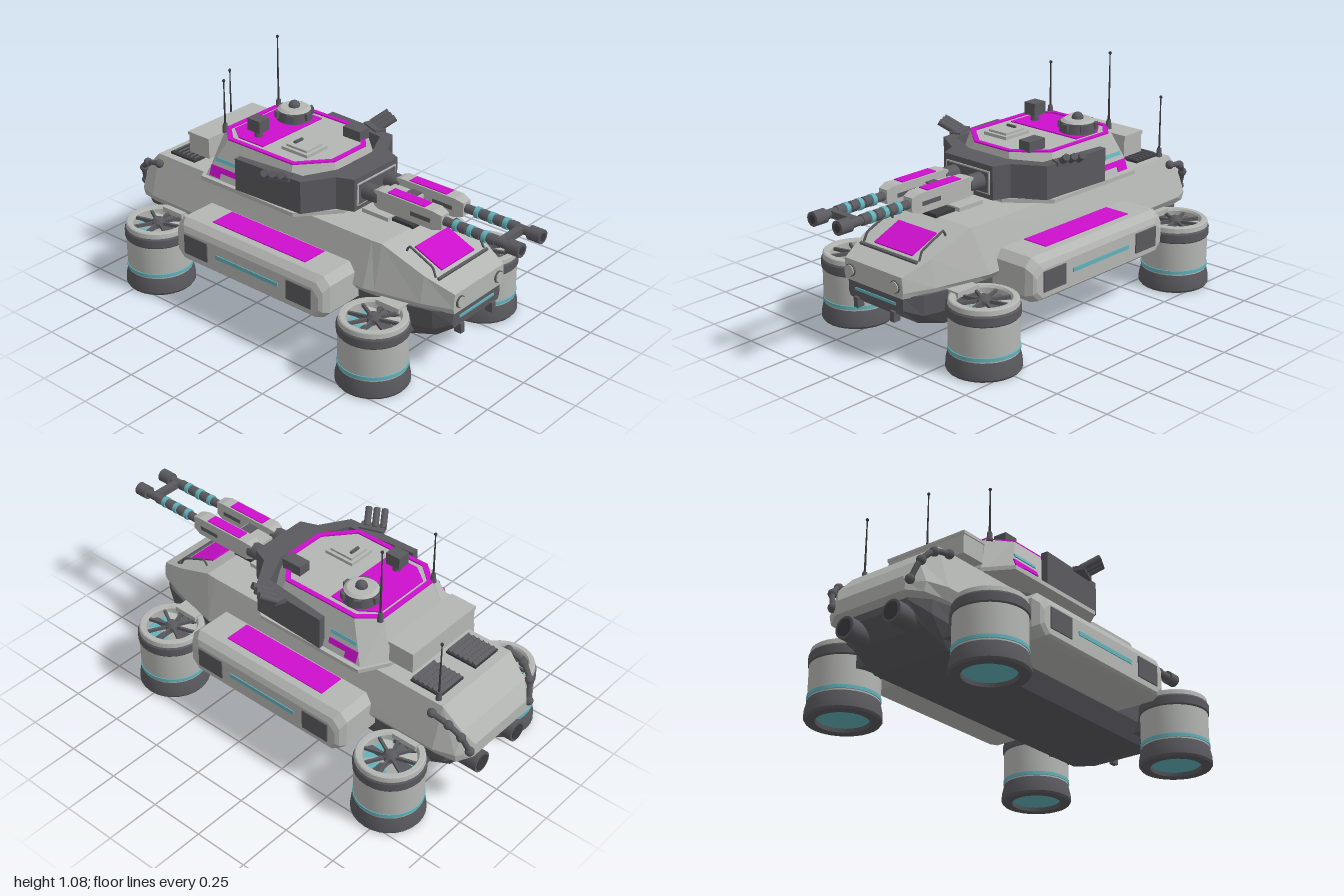
import * as THREE from 'three';
import { toCreasedNormals } from 'three/addons/utils/BufferGeometryUtils.js';

const paint = (name, color, side = THREE.FrontSide) => new THREE.MeshStandardMaterial({ name, color, side });

// Skins a series of closed rings ([x,y,z] points, counter-clockwise seen from the last ring) and caps both ends
function loft(rings) {
  const tris = [], n = rings[0].length, last = rings[rings.length - 1];
  for (let i = 0; i < rings.length - 1; i++) for (let j = 0; j < n; j++) {
    const k = (j + 1) % n, a = rings[i][j], b = rings[i][k], c = rings[i + 1][k], d = rings[i + 1][j];
    tris.push(a, b, c, a, c, d);
  }
  for (let j = 1; j < n - 1; j++) {
    tris.push(last[0], last[j], last[j + 1]);
    tris.push(rings[0][0], rings[0][j + 1], rings[0][j]);
  }
  const g = new THREE.BufferGeometry();
  g.setAttribute('position', new THREE.Float32BufferAttribute(tris.flat(), 3));
  g.computeVertexNormals();
  return g;
}

// Hull section at x, mirrored in z, from [y, halfWidth] pairs listed top to bottom
const hullRing = ([x, ...v]) => {
  const half = [];
  for (let i = 0; i < v.length; i += 2) half.push([x, v[i], v[i + 1]]);
  return [...half, ...half.map(([a, b, c]) => [a, b, -c]).reverse()];
};

// Turret plan: a long octagon at height y
const plan = (x0, x1, x2, x3, zb, zm, zf) =>
  [[x1, zm], [x2, zm], [x3, zf], [x3, -zf], [x2, -zm], [x1, -zm], [x0, -zb], [x0, zb]];
const atY = (pts, y) => pts.map(([x, z]) => [x, y, z]);

// Flat plate cut from an x/z outline, rising from y = 0
function plate(pts, height, hole) {
  const v = p => p.map(([x, z]) => new THREE.Vector2(x, -z));
  const shape = new THREE.Shape(v(pts));
  if (hole) shape.holes.push(new THREE.Path(v(hole)));
  return new THREE.ExtrudeGeometry(shape, { depth: height, bevelEnabled: false }).rotateX(-Math.PI / 2);
}

const box = (w, h, d) => new THREE.BoxGeometry(w, h, d);
const cyl = (r0, r1, h, n = 20) => new THREE.CylinderGeometry(r0, r1, h, n);
const cylX = (r, l, n = 16) => cyl(r, r, l, n).rotateZ(-Math.PI / 2);
const ball = r => new THREE.SphereGeometry(r, 14, 10);
const lathe = pts => toCreasedNormals(new THREE.LatheGeometry(pts.map(p => new THREE.Vector2(...p)), 28), 0.5);

export function createModel() {
  const model = new THREE.Group();
  model.name = 'hoverTank';
  const light = paint('light grey armour', 0xb4b6b3), dark = paint('dark grey metal', 0x5a595e);
  const black = paint('charcoal', 0x3c3c40), pink = paint('magenta', 0xcc0fcc), teal = paint('teal', 0x62b2ba);
  const add = (name, geo, mat, pos = [0, 0, 0], rot = [0, 0, 0], parent = model) => {
    const m = new THREE.Mesh(geo, mat);
    m.name = name;
    m.position.set(...pos);
    m.rotation.set(...rot);
    parent.add(m);
    return m;
  };
  const group = (name, x = 0, y = 0, z = 0) => {
    const g = new THREE.Group();
    g.name = name;
    g.position.set(x, y, z);
    model.add(g);
    return g;
  };

  // Hull
  add('upperHull', loft([
    [-0.99, 0.37, 0.17, 0.34, 0.18, 0.31, 0.18], [-0.95, 0.44, 0.21, 0.34, 0.25, 0.3, 0.24],
    [-0.86, 0.53, 0.225, 0.34, 0.28, 0.3, 0.255], [0.38, 0.53, 0.225, 0.33, 0.28, 0.3, 0.255],
    [0.43, 0.53, 0.222, 0.33, 0.268, 0.3, 0.25], [0.63, 0.448, 0.2, 0.33, 0.222, 0.3, 0.21],
    [0.76, 0.395, 0.165, 0.33, 0.172, 0.305, 0.165]].map(hullRing)), light);
  add('lowerHull', loft([
    [-0.95, 0.31, 0.16, 0.29, 0.16, 0.27, 0.15], [-0.88, 0.31, 0.22, 0.24, 0.22, 0.2, 0.18],
    [-0.75, 0.31, 0.245, 0.22, 0.235, 0.145, 0.19], [0.55, 0.31, 0.245, 0.22, 0.235, 0.145, 0.19],
    [0.68, 0.31, 0.21, 0.22, 0.2, 0.18, 0.17], [0.75, 0.308, 0.16, 0.25, 0.16, 0.23, 0.15]].map(hullRing)), dark);
  const slope = -Math.atan2(0.135, 0.33);
  add('glacisPanel', box(0.15, 0.008, 0.22), pink, [0.58, 0.471, 0], [0, 0, slope]);
  add('glacisLip', box(0.012, 0.012, 0.33), dark, [0.675, 0.434, 0], [0, 0, slope]);
  add('noseStrip', box(0.008, 0.012, 0.235), teal, [0.75, 0.27, 0]);
  add('deckHatch', box(0.14, 0.02, 0.12), light, [0.26, 0.538, 0]);
  add('deckVent', box(0.11, 0.016, 0.08), black, [0.39, 0.536, 0]);
  for (const s of [1, -1]) {
    add('headlightRim', cylX(0.027, 0.02), dark, [0.757, 0.35, s * 0.13]);
    add('headlight', cylX(0.023, 0.026), light, [0.759, 0.35, s * 0.13]);
    add('towHook', box(0.035, 0.045, 0.024), dark, [0.745, 0.215, s * 0.107]);
    const rail = new THREE.CatmullRomCurve3([[0.5, 0.49], [0.52, 0.525], [0.64, 0.475], [0.66, 0.435]]
      .map(([x, y], i) => new THREE.Vector3(x, y, s * (0.153 + 0.003 * i))), false, 'catmullrom', 0.1);
    add('handrail', new THREE.TubeGeometry(rail, 16, 0.005, 6), dark);

    // Engine deck louvres
    add('louvreBed', box(0.15, 0.012, 0.15), black, [-0.745, 0.534, s * 0.115]);
    for (let i = 0; i < 6; i++)
      add('louvreSlat', box(0.02, 0.006, 0.14), dark, [-0.807 + i * 0.025, 0.545, s * 0.115], [0, 0, 0.6]);

    // Rear hoses and exhausts
    const hose = [[-0.83, 0.5, 0.255], [-0.91, 0.48, 0.25], [-0.96, 0.43, 0.23], [-0.985, 0.35, 0.2]]
      .map(([x, y, z]) => new THREE.Vector3(x, y, s * z));
    add('rearHose', new THREE.TubeGeometry(new THREE.CatmullRomCurve3(hose), 20, 0.012, 8), dark);
    hose.forEach(p => add('hoseJoint', ball(0.02), dark, p.toArray()));
    add('exhaustPipe', cylX(0.047, 0.13, 20), dark, [-0.93, 0.24, s * 0.12]);
    add('exhaustBore', cylX(0.036, 0.004, 20), black, [-0.996, 0.24, s * 0.12]);
  }

  // Side sponsons, built for one side and turned round for the other
  const sponsonRing = (z, e, top, bottom) => {
    const x = 0.43 - e, c = 0.035;
    return [[-x, bottom + c], [-x + c, bottom], [x - c, bottom], [x, bottom + c],
      [x, top - c], [x - c, top], [c - x, top], [-x, top - c]].map(([a, b]) => [a, b, z]);
  };
  for (const s of [1, -1]) {
    const g = group(s > 0 ? 'leftSponson' : 'rightSponson', -0.105);
    if (s < 0) g.rotation.y = Math.PI;
    add('sponsonBody', loft([sponsonRing(0.2, 0, 0.415, 0.222), sponsonRing(0.42, 0, 0.415, 0.222),
      sponsonRing(0.45, 0.015, 0.39, 0.23), sponsonRing(0.46, 0.03, 0.365, 0.24)]), light, [0, 0, 0], [0, 0, 0], g);
    add('sponsonTopPanel', box(0.53, 0.008, 0.12), pink, [0, 0.415, 0.325], [0, 0, 0], g);
    add('sponsonStrip', box(0.36, 0.018, 0.008), teal, [0, 0.31, 0.46], [0, 0, 0], g);
    for (const e of [1, -1]) add('sponsonVent', box(0.135, 0.09, 0.009), dark, [e * 0.295, 0.31, 0.461], [0, 0, 0], g);
  }

  // Lift thrusters
  for (const x of [-0.725, 0.515]) for (const s of [1, -1]) {
    const g = group('thruster', x, 0, s * 0.375);
    const part = (name, geo, mat, pos, rot) => add(name, geo, mat, pos, rot, g);
    part('nozzle', lathe([[0.1, 0.04], [0.11, 0], [0.15, 0], [0.157, 0.01], [0.155, 0.04], [0.146, 0.08]]), dark);
    part('lowerGlow', cyl(0.108, 0.108, 0.008, 28), teal, [0, 0.02, 0]);
    part('casing', lathe([[0.146, 0.08], [0.146, 0.24]]), light);
    part('casingBand', lathe([[0.145, 0.086], [0.149, 0.087], [0.149, 0.102], [0.145, 0.103]]), teal);
    part('collar', lathe([[0.145, 0.23], [0.151, 0.237], [0.151, 0.272], [0.146, 0.28]]), dark);
    part('intakeRim', lathe([[0.146, 0.278], [0.143, 0.3], [0.138, 0.304], [0.118, 0.304], [0.112, 0.295], [0.112, 0.24]]), light);
    part('intakeDisc', cyl(0.113, 0.113, 0.008, 28), teal, [0, 0.25, 0]);
    part('hub', lathe([[0.03, 0.25], [0.03, 0.295], [0.018, 0.31], [0, 0.314]]), dark);
    for (let i = 0; i < 8; i++) {
      const a = i * Math.PI / 4;
      const blade = box(0.09, 0.006, 0.042).rotateX(0.35).translate(0.07, 0.268, 0).rotateY(a);
      part('fanBlade', blade, i % 2 ? light : dark);
      part('fanSpoke', box(0.1, 0.014, 0.011).translate(0.07, 0.287, 0).rotateY(a + 0.3), dark);
    }
    add('thrusterArm', box(0.14, 0.1, 0.09), dark, [x, 0.225, s * 0.235]);
    add('thrusterBracket', box(0.12, 0.024, 0.08), light, [x, 0.3, s * 0.25]);
  }

  // Turret
  add('turretRing', cyl(0.245, 0.245, 0.03, 32), dark, [-0.2, 0.54, 0]);
  const base = plan(-0.565, -0.5, -0.02, 0.12, 0.19, 0.3, 0.16), roof = plan(-0.5, -0.41, -0.04, 0.075, 0.155, 0.235, 0.1);
  add('turretBody', loft([atY(base, 0.555), atY(roof, 0.738)]), light);
  add('turretSill', plate(plan(-0.57, -0.5, 0.03, 0.17, 0.19, 0.315, 0.15), 0.018), light, [0, 0.552, 0]);
  const inner = plan(-0.478, -0.4, -0.05, 0.052, 0.145, 0.213, 0.092);
  add('roofBorder', plate(roof, 0.007, inner), pink, [0, 0.737, 0]);
  add('roofPanel', plate([[-0.39, 0.19], [-0.25, 0.19], [-0.25, -0.19], [-0.39, -0.19], [-0.465, -0.135], [-0.465, 0.135]], 0.006),
    pink, [0, 0.737, 0]);
  const outer = [[-0.295, 0.315], [0.06, 0.3], [0.14, 0.17], [0.215, 0.14]];
  const inside = [[0.1, 0.11], [0.03, 0.25], [-0.295, 0.283]];
  const flip = p => p.map(([x, z]) => [x, -z]).reverse();
  add('gunShield', plate([...outer, ...flip(outer), ...flip(inside), ...inside], 0.147), dark, [0, 0.57, 0]);
  add('mantletPlate', box(0.008, 0.1, 0.25), light, [0.216, 0.642, 0]);
  add('mantletInset', box(0.008, 0.088, 0.236), dark, [0.218, 0.642, 0]);
  add('stowageBin', box(0.12, 0.095, 0.4), light, [-0.625, 0.634, 0]);
  add('stowageLid', box(0.126, 0.014, 0.41), light, [-0.625, 0.678, 0]);
  for (const s of [1, -1]) {
    add('turretTealStrip', box(0.135, 0.016, 0.008), teal, [-0.385, 0.648, s * 0.267], [-s * 0.346, 0, 0]);
    add('turretSidePanel', box(0.15, 0.024, 0.008), pink, [-0.395, 0.61, s * 0.281], [-s * 0.346, 0, 0]);
    add('turretSidePanelStep', box(0.06, 0.03, 0.008), pink, [-0.44, 0.59, s * 0.288], [-s * 0.346, 0, 0]);

    // Smoke launchers
    const aim = new THREE.Vector3(0.5, 0.5, s * 0.75).normalize();
    for (let i = -1; i <= 1; i++) {
      const tube = add('smokeLauncher', cyl(0.015, 0.015, 0.09, 12), dark, [-0.035 + i * 0.032, 0.74, s * (0.352 - i * 0.016)]);
      tube.quaternion.setFromUnitVectors(new THREE.Vector3(0, 1, 0), aim);
    }
    add('launcherBracket', box(0.11, 0.02, 0.05), dark, [-0.05, 0.715, s * 0.31], [0, s * 0.35, 0]);

    // Twin guns
    const g = group('gun', 0, 0.645, s * 0.072);
    const part = (name, geo, mat, pos) => add(name, geo, mat, pos, [0, 0, 0], g);
    part('gunCollar', cylX(0.036, 0.1, 20), dark, [0.255, 0, 0]);
    const sq = (x, h, w) => [[x, h, w], [x, -h, w], [x, -h, -w], [x, h, -w]];
    part('gunHousing', loft([sq(0.285, 0.034, 0.026), sq(0.31, 0.042, 0.032), sq(0.59, 0.042, 0.032), sq(0.63, 0.03, 0.024)]), light);
    part('housingTopPanel', box(0.19, 0.006, 0.05), pink, [0.45, 0.043, 0]);
    for (const e of [1, -1]) part('housingSlot', box(0.1, 0.018, 0.006), dark, [0.53, -0.003, e * 0.032]);
    part('barrel', cylX(0.019, 0.34), dark, [0.79, 0, 0]);
    for (const x of [0.69, 0.76, 0.83]) {
      part('barrelRing', cylX(0.025, 0.02), teal, [x, 0, 0]);
      part('barrelSleeve', cylX(0.023, 0.028), dark, [x + 0.035, 0, 0]);
    }
    part('muzzle', cylX(0.03, 0.06, 20), dark, [0.97, 0, 0]);
    part('muzzleBore', cylX(0.018, 0.004), black, [0.9995, 0, 0]);
  }
  add('barrelBrace', box(0.03, 0.03, 0.15), dark, [0.9, 0.645, 0]);
  add('gunBridge', box(0.15, 0.04, 0.09), light, [0.36, 0.635, 0]);
  add('gunBridgeBlock', box(0.05, 0.05, 0.085), dark, [0.4, 0.637, 0]);

  // Roof fittings
  add('cupola', cyl(0.074, 0.08, 0.048, 24), dark, [-0.345, 0.764, -0.115]);
  add('cupolaLid', cyl(0.06, 0.074, 0.01, 24), light, [-0.345, 0.793, -0.115]);
  add('cupolaDome', ball(0.026), dark, [-0.345, 0.8, -0.115]);
  for (let i = 0; i < 6; i++) {
    const a = i * Math.PI / 3;
    add('cupolaBlock', box(0.02, 0.03, 0.03), dark, [-0.345 + 0.076 * Math.cos(a), 0.77, -0.115 - 0.076 * Math.sin(a)], [0, a, 0]);
  }
  add('sightPost', cyl(0.015, 0.02, 0.04, 12), dark, [-0.335, 0.757, 0.125]);
  add('sightHead', box(0.07, 0.055, 0.062), dark, [-0.335, 0.8, 0.125]);
  add('crewHatch', box(0.145, 0.014, 0.13), light, [-0.108, 0.745, 0.085]);
  add('crewHatchLid', box(0.115, 0.012, 0.1), light, [-0.108, 0.756, 0.085]);
  add('hatchHandle', box(0.012, 0.01, 0.05), dark, [-0.14, 0.766, 0.085]);
  add('roofSensor', box(0.095, 0.046, 0.06), dark, [-0.018, 0.762, -0.145]);

  // Antennas
  for (const [x, y, z, h] of [[-0.49, 0.73, -0.17, 0.34], [-0.49, 0.73, 0.17, 0.24], [-0.82, 0.53, -0.2, 0.28]]) {
    add('antennaBase', cyl(0.01, 0.014, 0.04, 10), dark, [x, y + 0.02, z]);
    add('antennaMast', cyl(0.0025, 0.005, h, 8), black, [x, y + h / 2, z]);
    add('antennaTip', ball(0.007), black, [x, y + h, z]);
  }
  return model;
}
